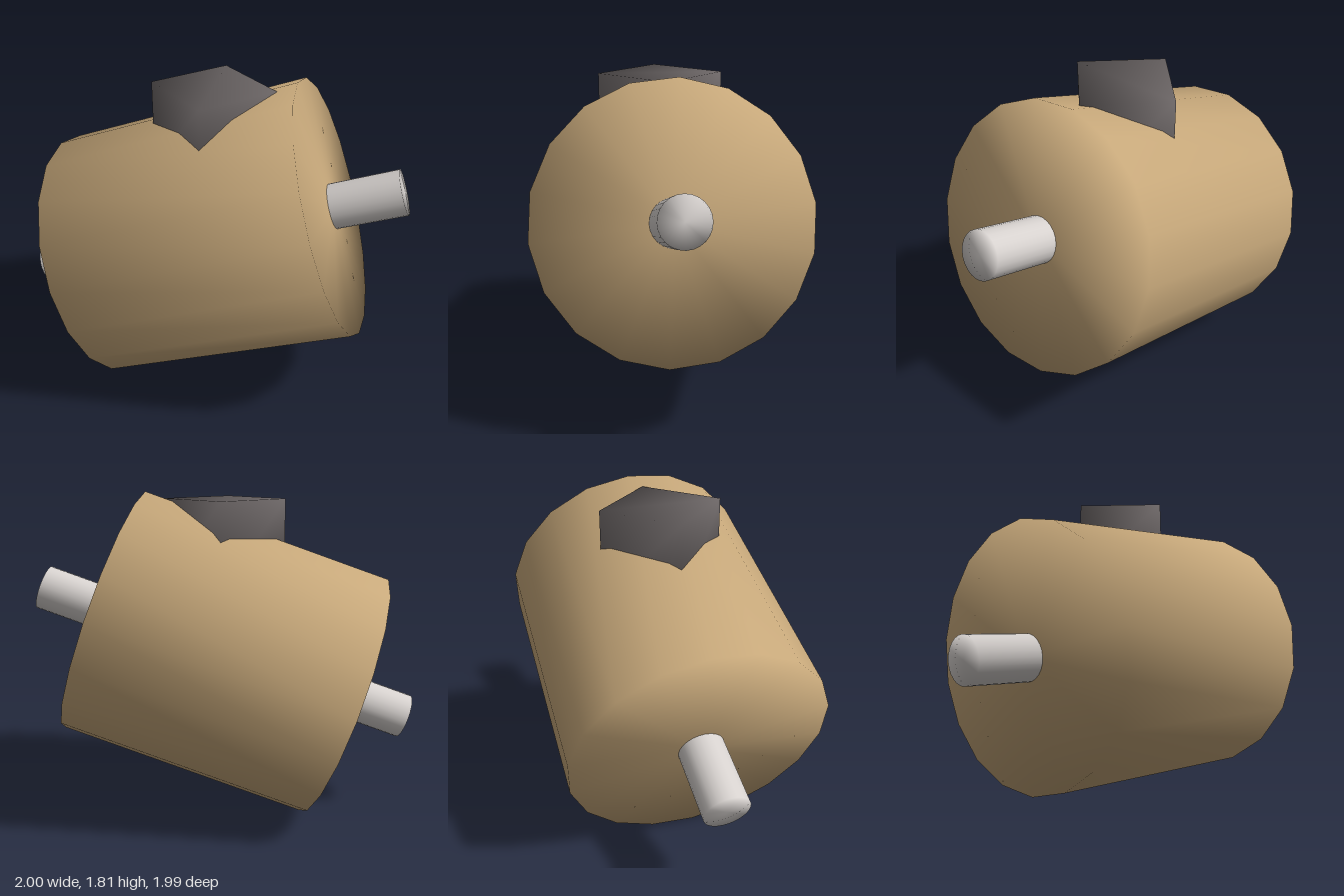
import * as THREE from 'three';
import { mergeVertices } from 'three/addons/utils/BufferGeometryUtils.js';

const CENTRE_Y = 0.905;

// Share vertices across all edges so the shading runs smoothly over them
function smoothed(geometry) {
  geometry.deleteAttribute('uv');
  geometry.deleteAttribute('normal');
  geometry.clearGroups();
  const merged = mergeVertices(geometry, 1e-4);
  merged.computeVertexNormals();
  return merged;
}

function part(name, geometry, material) {
  const mesh = new THREE.Mesh(smoothed(geometry), material);
  mesh.name = name;
  return mesh;
}

export function createModel() {
  const wood = new THREE.MeshStandardMaterial({ color: 0xc8a97b });
  wood.name = 'tan';
  const metal = new THREE.MeshStandardMaterial({ color: 0xd6d1ce });
  metal.name = 'light grey';
  const dark = new THREE.MeshStandardMaterial({ color: 0x6b6565 });
  dark.name = 'dark grey';

  const model = new THREE.Group();
  model.name = 'barrelModel';

  // Tilted group: its y runs along the barrel, towards the front left and up
  const tilted = new THREE.Group();
  tilted.name = 'tiltedBarrel';
  const along = new THREE.Vector3(2, 1, 2).normalize();
  const side = new THREE.Vector3(1, 0, -1).normalize();
  const down = new THREE.Vector3().crossVectors(side, along);
  tilted.quaternion.setFromRotationMatrix(new THREE.Matrix4().makeBasis(side, along, down));
  tilted.position.y = CENTRE_Y;
  model.add(tilted);

  // Eighteen-sided barrel, turned slightly about its axis
  const turn = THREE.MathUtils.degToRad(-4);
  tilted.add(part('barrel', new THREE.CylinderGeometry(0.71, 0.71, 1.412, 18, 1, false, turn), wood));

  // Axle sticking out of both ends
  tilted.add(part('axle', new THREE.CylinderGeometry(0.125, 0.125, 2.185, 24), metal));

  // Upright block set into the top
  const block = part('topBlock', new THREE.BoxGeometry(0.47, 0.47, 0.47), dark);
  block.position.y = 1.77 - 0.235;
  model.add(block);

  return model;
}
